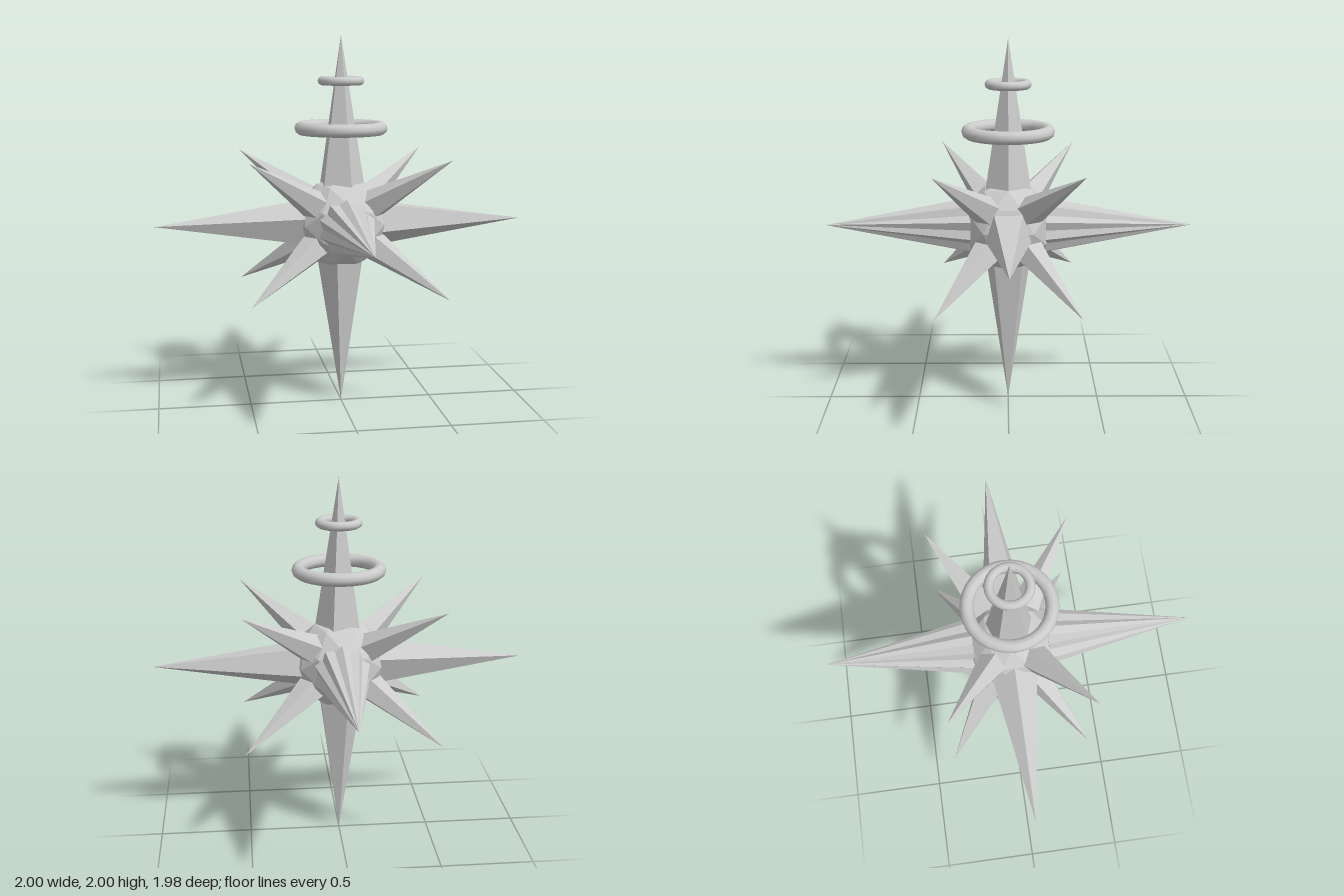
import * as THREE from 'three';

const CENTER_Y = 1;
const faceted = new THREE.MeshStandardMaterial({ color: 0xcccccc, flatShading: true });
const smooth = new THREE.MeshStandardMaterial({ color: 0xcccccc });

// Five-sided spike pointing along dir, with one ridge turned towards ridge
function spike(name, dir, ridge, base, tip, radius) {
  const y = dir.clone().normalize();
  const x = new THREE.Vector3().crossVectors(y, ridge).normalize();
  const z = new THREE.Vector3().crossVectors(x, y);
  const geo = new THREE.ConeGeometry(radius, tip - base, 5);
  geo.translate(0, (base + tip) / 2, 0);
  geo.applyMatrix4(new THREE.Matrix4().makeBasis(x, y, z));
  const mesh = new THREE.Mesh(geo, faceted);
  mesh.name = name;
  mesh.position.y = CENTER_Y;
  return mesh;
}

function ring(name, y, radius, tube) {
  const geo = new THREE.TorusGeometry(radius, tube, 10, 32);
  geo.rotateX(Math.PI / 2);
  const mesh = new THREE.Mesh(geo, smooth);
  mesh.name = name;
  mesh.position.y = y;
  return mesh;
}

export function createModel() {
  const group = new THREE.Group();
  group.name = 'spikedStar';
  const v = (x, y, z) => new THREE.Vector3(x, y, z);

  // Faceted core
  const core = new THREE.Mesh(new THREE.IcosahedronGeometry(0.25, 1), faceted);
  core.name = 'core';
  core.position.y = CENTER_Y;
  group.add(core);

  // Four long spikes, each a quarter turn from the last
  const names = ['leftSpike', 'topSpike', 'rightSpike', 'bottomSpike'];
  names.forEach((name, i) => {
    const a = (i * Math.PI) / 2;
    const dir = v(Math.cos(a), Math.sin(a), 0);
    const ridge = v(Math.sin(a), -Math.cos(a), 0);
    group.add(spike(name, dir, ridge, 0.2, 1, 0.128));
  });

  // Front and back spikes: two crossed spikes each, making ten ridges
  for (const s of [1, -1]) {
    for (const up of [1, -1]) {
      group.add(spike(s > 0 ? 'frontSpike' : 'backSpike', v(0, 0, s), v(0, up, 0), 0.2, 0.99, 0.152));
    }
  }

  // Eight shorter diagonal spikes
  for (const sx of [1, -1]) for (const sy of [1, -1]) for (const sz of [1, -1]) {
    const tip = v(0.52 * sx, 0.368 * sy, 0.38 * sz);
    group.add(spike('diagonalSpike', tip, v(0, sy, 0), 0.22, tip.length(), 0.083));
  }

  // Floating rings around the top spike
  group.add(ring('lowerRing', 1.51, 0.214, 0.035));
  group.add(ring('upperRing', 1.76, 0.1, 0.024));
  return group;
}
